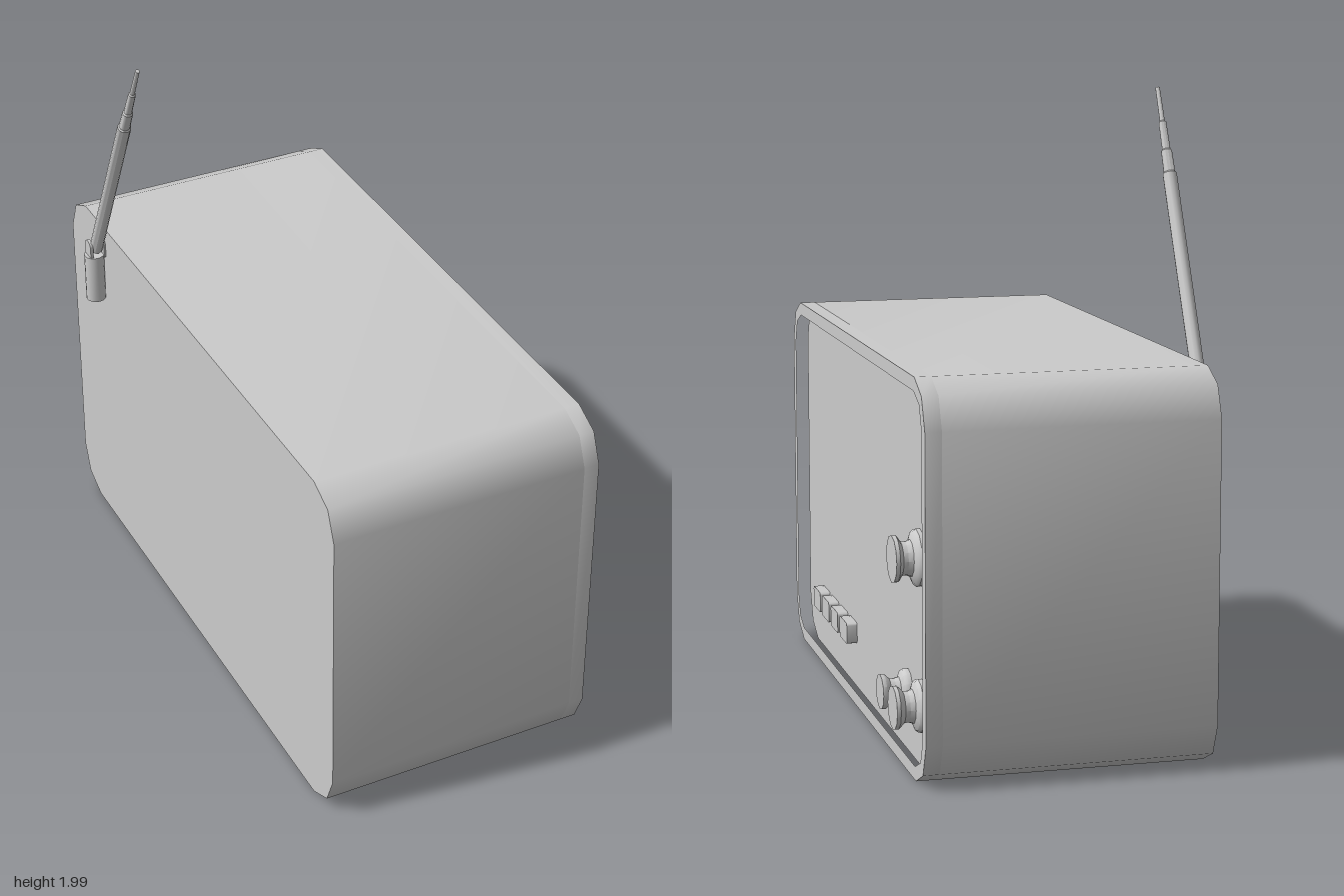
import * as THREE from 'three';
import { toCreasedNormals } from 'three/addons/utils/BufferGeometryUtils.js';

const grey = new THREE.MeshStandardMaterial({ color: 0xcccccc });
grey.name = 'grey plastic';

function part(name, geometry, parent, crease = 0.6) {
  const mesh = new THREE.Mesh(toCreasedNormals(geometry, crease), grey);
  mesh.name = name;
  parent.add(mesh);
  return mesh;
}

// Closed outline symmetric about x = 0 and y = cy, from its upper-right corner points
function outline(corner, cy, Type = THREE.Shape) {
  const right = [...corner, ...[...corner].reverse().map(([x, y]) => [x, 2 * cy - y])];
  const left = [...right].reverse().map(([x, y]) => [-x, y]);
  return new Type([...right, ...left].map(([x, y]) => new THREE.Vector2(x, y)));
}

// Extrude a side profile along x
function extrudeX(shape, x0, x1) {
  return new THREE.ExtrudeGeometry(shape, { depth: x1 - x0, bevelEnabled: false })
    .rotateY(Math.PI / 2)
    .translate(x0, 0, 0);
}

const lathe = (points, sides) =>
  new THREE.LatheGeometry(points.map(([r, y]) => new THREE.Vector2(r, y)), sides);

export function createModel() {
  const model = new THREE.Group();
  model.name = 'radio';
  const panelX = 0.405;

  // Cabinet with a raised rim around the recessed panel
  const outer = [[0.87, 1.2], [0.96, 1.157], [1, 1.06]];
  const inner = [[0.86, 1.158], [0.928, 1.128], [0.958, 1.055]];
  part('cabinet', extrudeX(outline(outer, 0.6), -0.433, panelX), model, 0.95);
  const rim = outline(outer, 0.6);
  rim.holes.push(outline(inner, 0.6, THREE.Path));
  part('panelRim', extrudeX(rim, panelX, 0.455), model, 0.95);

  // Flared knobs: [y, z, base radius, height]
  const knobs = [
    [0.636, -0.72, 0.088, 0.086],
    [0.19, -0.74, 0.082, 0.09],
    [0.19, -0.557, 0.067, 0.088],
  ];
  for (const [y, z, r, h] of knobs) {
    const profile = [
      [0, 0], [r, 0], [r, 0.012], [r * 0.9, 0.022], [r * 0.64, 0.03], [r * 0.58, 0.045],
      [r * 0.6, 0.06], [r * 0.77, h - 0.016], [r * 0.81, h - 0.012], [r * 0.81, h], [0, h],
    ];
    part('knob', lathe(profile, 12).rotateZ(-Math.PI / 2), model).position.set(panelX, y, z);
  }

  // Row of push buttons
  const button = outline([[0.05, 0.035], [0.0565, 0.032], [0.0585, 0.026]], 0);
  for (let i = 0; i < 4; i++) {
    part('button', extrudeX(button, panelX, 0.44), model, 0.95).position.set(0, 0.183, 0.7 - i * 0.15);
  }

  // Antenna socket with a forked top holding the pivot
  const antenna = new THREE.Group();
  antenna.name = 'antenna';
  model.add(antenna);
  const socketX = -0.466, z = -0.725;
  part('antennaSocket', new THREE.CylinderGeometry(0.033, 0.033, 0.17, 16), antenna)
    .position.set(socketX, 1.015, z);
  for (const side of [-1, 1]) {
    const prong = new THREE.CylinderGeometry(0.025, 0.025, 0.01, 16).rotateZ(Math.PI / 2);
    part('socketProng', prong, antenna).position.set(-0.458 + side * 0.024, 1.132, z);
    part('prongBase', new THREE.BoxGeometry(0.01, 0.04, 0.048), antenna)
      .position.set(-0.458 + side * 0.024, 1.112, z);
  }

  // Telescopic rod leaning towards the front
  const rodProfile = [
    [0, 0], [0.022, 0], [0.022, 0.68], [0.018, 0.685], [0.017, 0.755], [0.013, 0.76],
    [0.012, 0.85], [0.008, 0.855], [0.007, 0.967], [0, 0.967],
  ];
  const rod = part('antennaRod', lathe(rodProfile, 12), antenna);
  rod.position.set(-0.458, 1.12, z);
  rod.rotation.x = Math.atan2(0.39, 0.784);

  return model;
}
